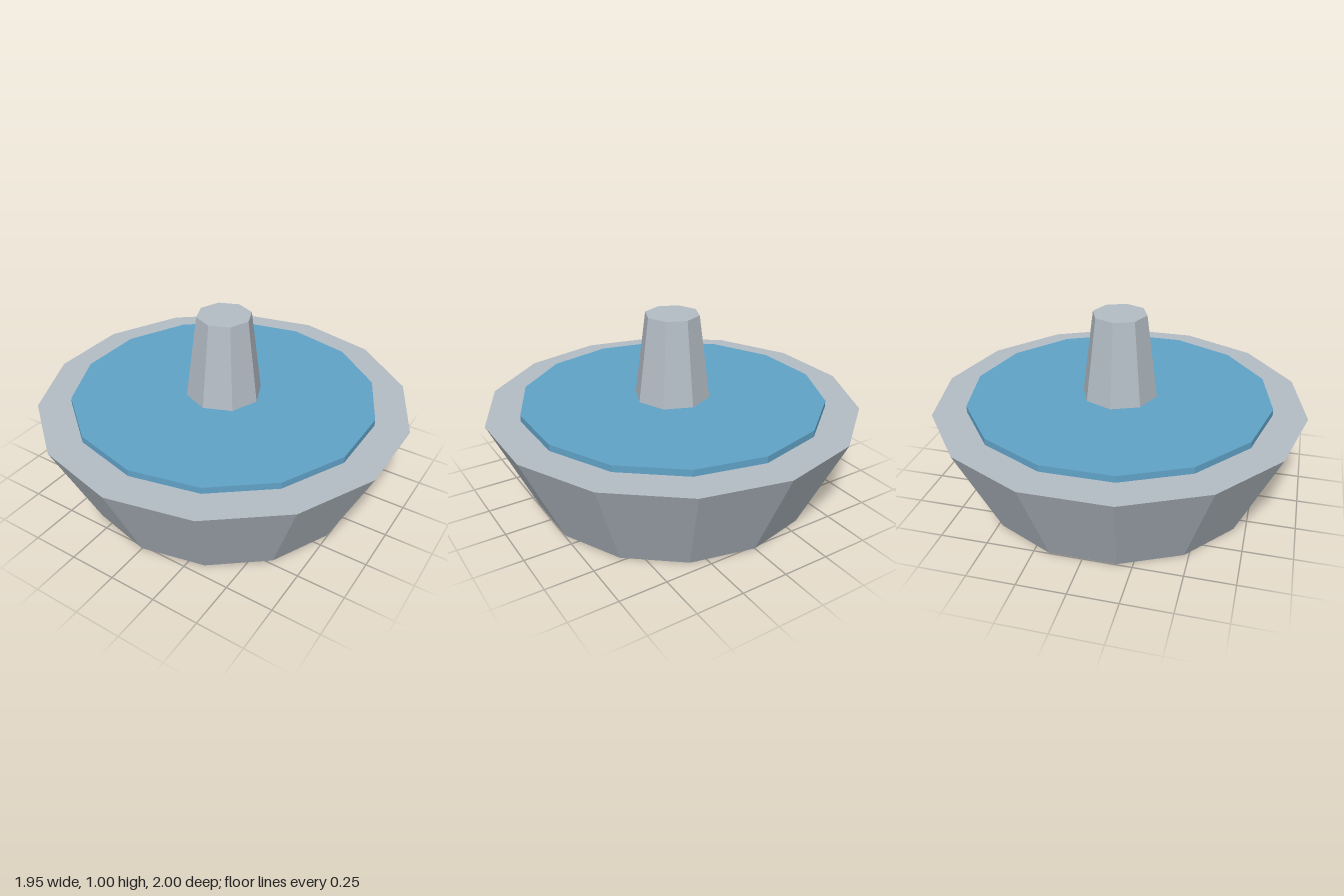
import * as THREE from 'three';

export function createModel() {
  const group = new THREE.Group();
  group.name = 'fountain';

  const stone = new THREE.MeshStandardMaterial({ color: 0xb4bdc5, flatShading: true });
  stone.name = 'pale stone';
  const blue = new THREE.MeshStandardMaterial({ color: 0x61a3c8, flatShading: true });
  blue.name = 'water blue';

  // Faceted tapered drum standing between two heights
  const drum = (name, rTop, rBottom, y0, y1, sides, material) => {
    const geometry = new THREE.CylinderGeometry(rTop, rBottom, y1 - y0, sides);
    const mesh = new THREE.Mesh(geometry, material);
    mesh.name = name;
    mesh.position.y = (y0 + y1) / 2;
    group.add(mesh);
  };

  drum('basin', 1, 0.765, 0, 0.51, 14, stone);
  drum('water', 0.82, 0.82, 0.51, 0.545, 14, blue);
  drum('spout', 0.145, 0.205, 0.545, 1, 8, stone);

  return group;
}
